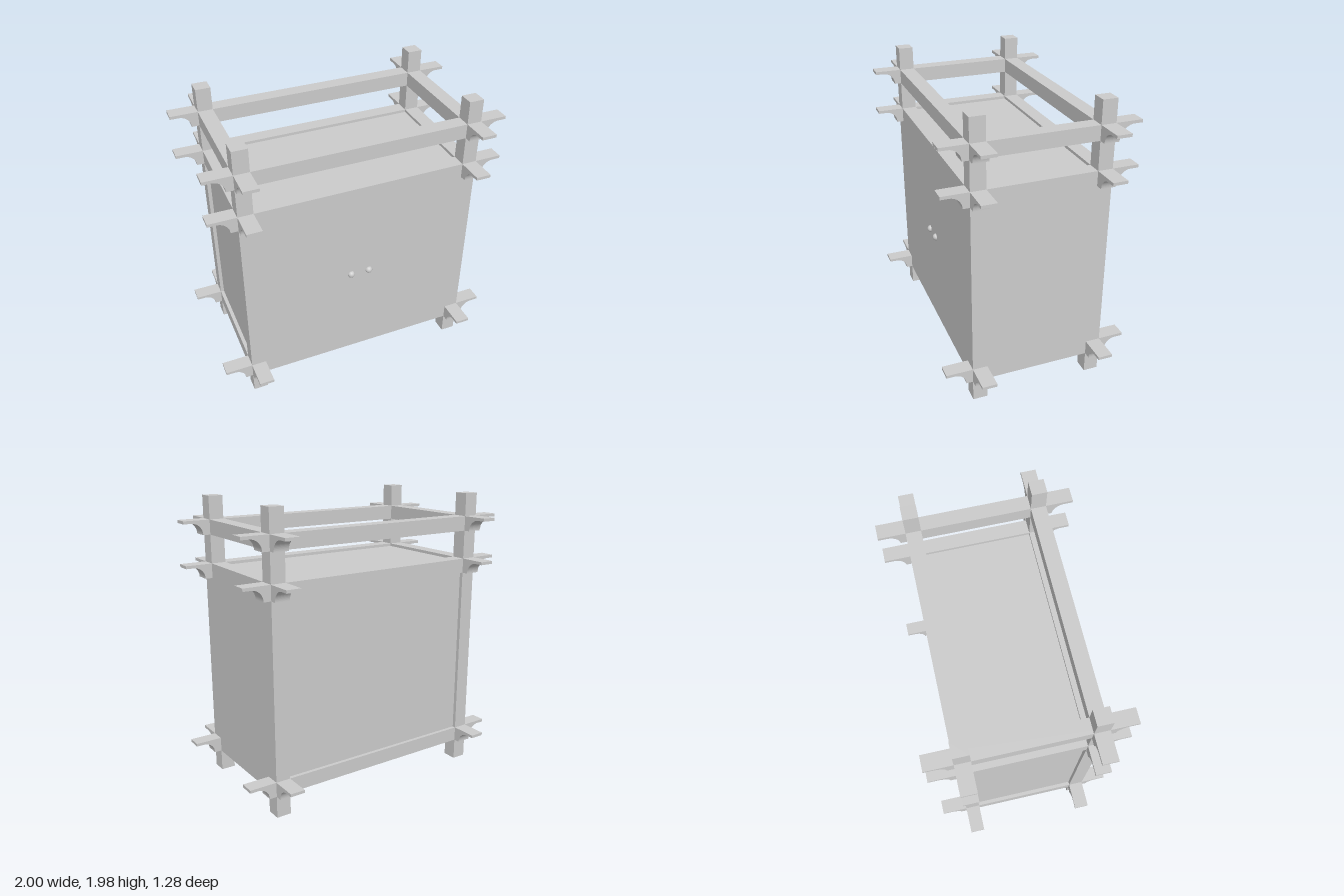
import * as THREE from 'three';

const W = 0.1;                       // timber thickness
const PX = 0.765, PZ = 0.41;         // post centres
const LEVELS = [0.15, 1.43, 1.725];  // undersides of the three beam rings

export function createModel() {
  const group = new THREE.Group();
  const material = new THREE.MeshStandardMaterial({ color: 0xcccccc });

  const add = (name, geometry, x = 0, y = 0, z = 0) => {
    const mesh = new THREE.Mesh(geometry, material);
    mesh.name = name;
    mesh.position.set(x, y, z);
    group.add(mesh);
    return mesh;
  };

  // box given by its minimum and maximum corners
  const slab = (name, [x0, y0, z0], [x1, y1, z1]) =>
    add(name, new THREE.BoxGeometry(x1 - x0, y1 - y0, z1 - z0),
      (x0 + x1) / 2, (y0 + y1) / 2, (z0 + z1) / 2);

  // beam whose two ends are scooped out underneath, leaving a thin lip
  const beamGeometry = (half) => {
    const r = 0.08, inner = half - 0.135, c = inner + r;
    const s = new THREE.Shape();
    s.moveTo(-inner, 0);
    s.lineTo(inner, 0);
    s.absarc(c, 0, r, Math.PI, Math.PI / 2, true);
    s.lineTo(half, r);
    s.lineTo(half, W);
    s.lineTo(-half, W);
    s.lineTo(-half, r);
    s.lineTo(-c, r);
    s.absarc(-c, 0, r, Math.PI / 2, 0, true);
    return new THREE.ExtrudeGeometry(s, { depth: W, bevelEnabled: false, curveSegments: 16 })
      .translate(0, 0, -W / 2);
  };

  // corner posts
  for (const sx of [-1, 1]) for (const sz of [-1, 1])
    add('post', new THREE.BoxGeometry(W, 1.98, W), sx * PX, 0.99, sz * PZ);

  // beam rings
  const longBeam = beamGeometry(1);
  const shortBeam = beamGeometry(0.64).rotateY(Math.PI / 2);
  for (const y of LEVELS) for (const s of [-1, 1]) {
    add('longBeam', longBeam, 0, y, s * PZ);
    add('shortBeam', shortBeam, s * PX, y, 0);
  }

  // cabinet panels: front and left flush with the frame, the others set back
  slab('frontPanel', [-0.715, 0.25, 0.435], [0.715, 1.43, 0.46]);
  slab('leftPanel', [0.79, 0.25, -0.36], [0.815, 1.43, 0.36]);
  slab('backPanel', [-0.715, 0.25, -0.435], [0.715, 1.43, -0.41]);
  slab('rightPanel', [-0.79, 0.25, -0.36], [-0.765, 1.43, 0.36]);
  slab('topPanel', [-0.715, 1.48, -0.36], [0.715, 1.51, 0.36]);
  slab('bottomPanel', [-0.715, 0.175, -0.36], [0.715, 0.205, 0.36]);

  // door knobs
  for (const x of [-0.07, 0.06])
    add('knob', new THREE.SphereGeometry(0.025, 24, 16), x, 0.84, 0.458);

  return group;
}
